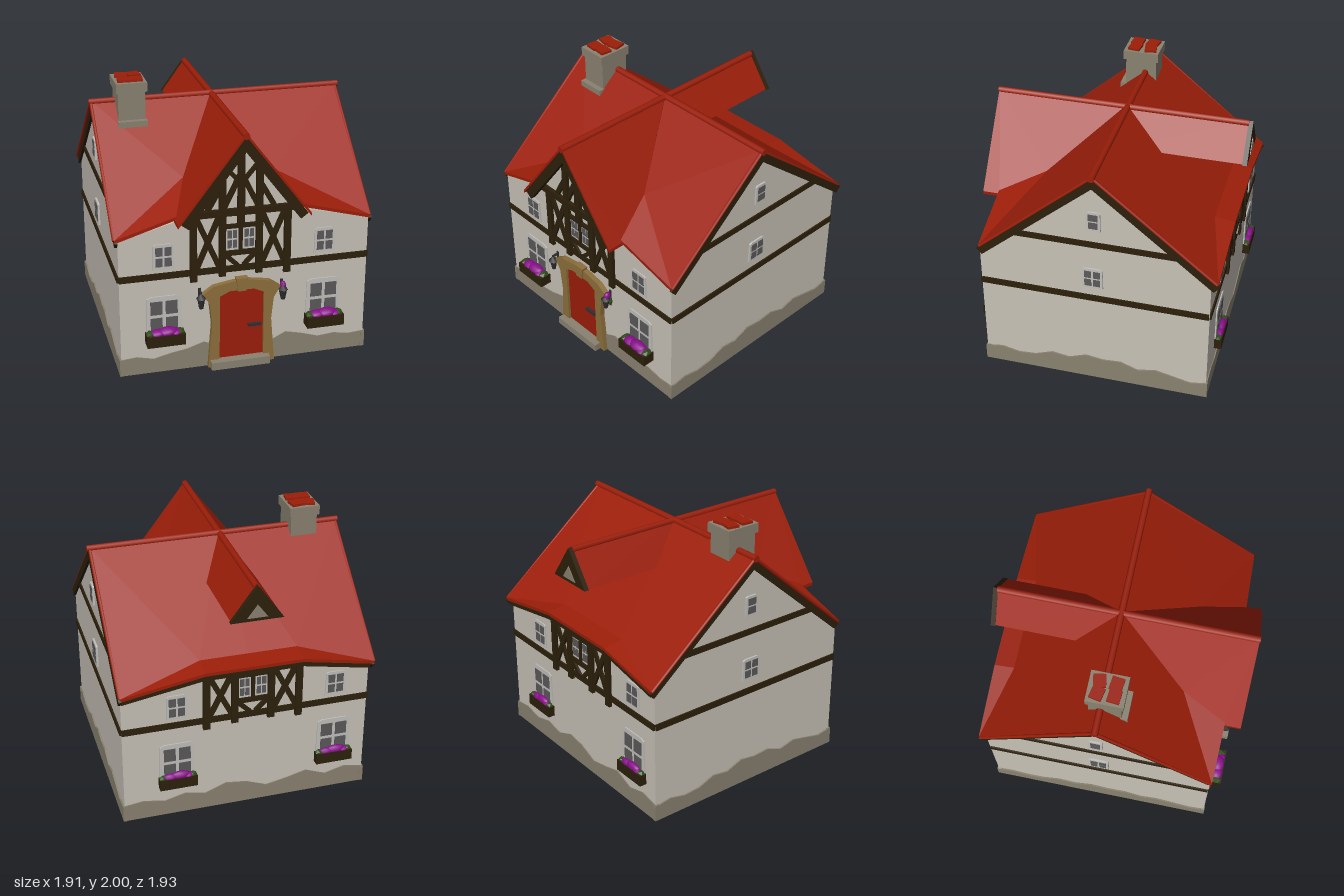
import * as THREE from 'three';

const mat = (name, color) => Object.assign(new THREE.MeshStandardMaterial({ color }), { name });
const M = {
  wall: mat('plaster', 0xc7c2b7), red: mat('redTile', 0x9c1e09), timber: mat('darkTimber', 0x2d200b),
  tan: mat('sandstone', 0x8d6f3c), stone: mat('greyStone', 0x8a8271), purple: mat('purpleBlossom', 0x8a0f8c),
  green: mat('leafGreen', 0x2f4d1c), frame: mat('windowFrame', 0xc2c0bb), glass: mat('greyGlass', 0x5b595a),
  metal: mat('darkMetal', 0x302e30),
};
const CX = -0.04, FRONT = 0.815, BACK = -0.875, SIDE = 0.92, RZ = -0.03;

let seed = 7;
const rnd = () => (seed = (seed * 16807) % 2147483647) / 2147483647;

function add(parent, name, geo, material, x = 0, y = 0, z = 0) {
  const m = new THREE.Mesh(geo, material);
  m.name = name;
  m.position.set(x, y, z);
  parent.add(m);
  return m;
}
const box = (p, name, m, w, h, d, x, y, z) => add(p, name, new THREE.BoxGeometry(w, h, d), m, x, y, z);

// Flat outline pushed forward by depth
function plate(p, name, m, pts, depth, z = 0) {
  const shape = new THREE.Shape(pts.map(([x, y]) => new THREE.Vector2(x, y)));
  return add(p, name, new THREE.ExtrudeGeometry(shape, { depth, bevelEnabled: false }), m, 0, 0, z);
}

// Straight timber between two points on a wall face
function beam(p, x1, y1, x2, y2, w = 0.04, d = 0.025, z = 0) {
  const b = box(p, 'timberBeam', M.timber, Math.hypot(x2 - x1, y2 - y1), w, d, (x1 + x2) / 2, (y1 + y2) / 2, z + d / 2);
  b.rotation.z = Math.atan2(y2 - y1, x2 - x1);
}

// Round tile roll between two points
function roll(p, name, a, b, r) {
  const A = new THREE.Vector3(...a), B = new THREE.Vector3(...b), dir = B.clone().sub(A);
  const m = add(p, name, new THREE.CylinderGeometry(r, r, dir.length(), 8), M.red);
  m.position.copy(A).add(B).multiplyScalar(0.5);
  m.quaternion.setFromUnitVectors(new THREE.Vector3(0, 1, 0), dir.normalize());
}

// Roof panel: a polygon in space thickened downwards
function slab(p, name, pts, t = 0.025) {
  const area = pts.reduce((s, a, i) => {
    const b = pts[(i + 1) % pts.length];
    return s + a[2] * b[0] - a[0] * b[2];
  }, 0);
  if (area < 0) pts = [pts[0], ...pts.slice(1).reverse()];
  const low = pts.map(([x, y, z]) => [x, y - t, z]), v = [];
  for (let i = 1; i < pts.length - 1; i++) {
    v.push(pts[0], pts[i], pts[i + 1], low[0], low[i + 1], low[i]);
  }
  pts.forEach((a, i) => {
    const j = (i + 1) % pts.length;
    v.push(a, low[i], low[j], a, low[j], pts[j]);
  });
  const g = new THREE.BufferGeometry();
  g.setAttribute('position', new THREE.Float32BufferAttribute(v.flat(), 3));
  g.computeVertexNormals();
  add(p, name, g, M.red);
}

// Window with a grid of panes, centred at x, y on a wall face
function windowUnit(p, x, y, w, h, cols = 2, rows = 2) {
  const g = new THREE.Group();
  g.name = 'window';
  g.position.set(x, y, 0);
  p.add(g);
  const a = w / 2, b = h / 2;
  plate(g, 'windowFrame', M.frame, [[-a, -b], [a, -b], [a * 0.95, b * 0.9], [a * 0.7, b], [-a * 0.7, b], [-a * 0.95, b * 0.9]], 0.014);
  const cw = w * 0.84 / cols, ch = h * 0.84 / rows;
  for (let i = 0; i < cols; i++) for (let j = 0; j < rows; j++) {
    box(g, 'windowPane', M.glass, cw * 0.78, ch * 0.8, 0.006, (i - (cols - 1) / 2) * cw, (j - (rows - 1) / 2) * ch, 0.015);
  }
}

// Faceted leaf or blossom clump, stretched to a size
function clump(p, leaf, size, x, y, z) {
  const m = add(p, leaf ? 'leaf' : 'blossom', new THREE.IcosahedronGeometry(1, leaf ? 0 : 1), leaf ? M.green : M.purple, x, y, z);
  m.scale.set(...size);
}

// Planter with a mound of blossoms and leaves at the ends
function flowerBox(p, x, depth) {
  box(p, 'flowerBox', M.timber, 0.28, 0.085, depth, x, 0.293, depth / 2);
  const dz = depth * 0.5;
  clump(p, false, [0.075, 0.034, dz], x + 0.02, 0.345, dz);
  clump(p, false, [0.06, 0.028, dz * 0.95], x - 0.055, 0.34, dz);
  clump(p, false, [0.045, 0.024, dz], x + 0.075, 0.336, dz);
  for (const s of [-1, 1]) clump(p, true, [0.035, 0.026, dz * 0.95], x + s * 0.11, 0.336, dz);
}

// Windows, planters and timber framing shared by front and back; c is the panel centre
function facade(p, c, depth, top) {
  for (const s of [-1, 1]) {
    const x = c + 0.035 + s * 0.597;
    windowUnit(p, x, 0.455, 0.265, 0.31);
    windowUnit(p, c + 0.035 + s * 0.594, 0.917, 0.155, 0.195);
    flowerBox(p, x, depth);
    beam(p, c + s * 0.345, 0.7, c + s * 0.345, top, 0.05, 0.03);
    beam(p, c + s * 0.135, 0.72, c + s * 0.135, top, 0.05, 0.03);
    beam(p, c + s * 0.16, 0.8, c + s * 0.32, top - 0.02, 0.04, 0.022);
    beam(p, c + s * 0.16, top - 0.02, c + s * 0.32, 0.8, 0.04, 0.022);
    beam(p, c + s * 0.02, 0.79, c + s * 0.12, 0.89, 0.032);
    windowUnit(p, c + s * 0.062, 1.0, 0.092, 0.18);
  }
  beam(p, -0.92, 0.768, 0.92, 0.768, 0.048, 0.016);
  beam(p, c - 0.13, 0.895, c + 0.13, 0.895, 0.04);
  beam(p, c - 0.13, 1.1, c + 0.13, 1.1, 0.03);
  beam(p, c, 0.895, c, 1.1, 0.026, 0.022);
}

// Rough stone plinth strip with an uneven top
function plinth(p, w, heights) {
  const n = heights.length - 1;
  plate(p, 'stonePlinth', M.stone, [[-w, 0], [w, 0], ...heights.map((h, i) => [w - 2 * w * i / n, h])], 0.03, -0.018);
}

function roof(p) {
  for (const s of [-1, 1]) {
    const xo = s > 0 ? 0.928 : -0.943, X = d => CX + s * d;
    const A = [xo, 1.82, RZ], B = [CX, 1.82, RZ], C = [xo, 1.08, 0.83], E = [X(0.34), 1.37, 0.5];
    slab(p, 'frontRoof', [A, B, E, C]);
    slab(p, 'frontRoofFlare', [C, E, [X(0.46), 1.22, 0.84]]);
    slab(p, 'gableRoof', [[CX, 1.83, 0.96], [CX, 1.83, RZ], E, [X(0.48), 1.2, 0.83], [X(0.48), 1.2, 0.96]]);
    const Cb = [xo, 1.08, -0.93], F = [X(0.36), 1.205, -0.778], K = [CX, 1.205, -0.778];
    slab(p, 'backRoof', [F, Cb, A, B, K]);
    slab(p, 'backRoofFlare', [Cb, F, [X(0.36), 1.185, -0.93]]);
    slab(p, 'backRoofLift', [F, K, [CX, 1.185, -0.93], [X(0.36), 1.185, -0.93]]);
    for (const z of [0.82, -0.92]) roll(p, 'vergeRoll', [xo, 1.81, RZ], [xo, 1.073, z], 0.013);
  }
  roll(p, 'mainRidge', [-0.96, 1.81, RZ], [0.95, 1.81, RZ], 0.025);
  roll(p, 'crossRidge', [CX, 1.807, -0.93], [CX, 1.807, 0.965], 0.025);
  // Short rear arm of the cross ridge
  const tri = (w, top, bottom) => [[CX - w, bottom], [CX + w, bottom], [CX, top]];
  plate(p, 'rearArm', M.red, tri(0.185, 1.825, 1.57), 0.9, -0.93);
  plate(p, 'rearArmBoard', M.timber, tri(0.192, 1.828, 1.565), 0.035, -0.96);
  plate(p, 'rearArmInfill', M.stone, tri(0.075, 1.69, 1.59), 0.006, -0.965);
}

function door(p) {
  const half = [[0.25, 0], [0.222, 0.35], [0.24, 0.52], [0.29, 0.6], [0.21, 0.655], [0.06, 0.68]];
  const hole = [[0.165, 0], [0.165, 0.57], [0.09, 0.605]];
  const flip = a => a.map(([x, y]) => [-x, y]);
  const g = new THREE.Group();
  g.name = 'doorway';
  g.position.x = -0.035;
  p.add(g);
  plate(g, 'doorSurround', M.tan, [...half, ...flip(half).reverse(), ...flip(hole), ...hole.slice().reverse()], 0.045);
  plate(g, 'keystone', M.tan, [[-0.03, 0.6], [0.03, 0.6], [0.045, 0.7], [-0.045, 0.7]], 0.055);
  plate(g, 'door', M.red, [[-0.166, 0.04], [0.166, 0.04], [0.166, 0.572], [0.09, 0.607], [-0.09, 0.607], [-0.166, 0.572]], 0.025);
  box(g, 'doorHandle', M.metal, 0.1, 0.02, 0.025, 0.1, 0.31, 0.035);
  box(g, 'doorStep', M.stone, 0.44, 0.06, 0.1, -0.015, 0.03, 0.045);
  // Lanterns on brackets either side
  for (const s of [-1, 1]) {
    const x = s * 0.305;
    add(g, 'lanternBody', new THREE.CylinderGeometry(0.03, 0.016, 0.08, 6), M.metal, x, 0.54, 0.055);
    add(g, 'lanternCap', new THREE.ConeGeometry(0.038, 0.045, 6), M.metal, x, 0.6, 0.055);
    box(g, 'lanternBracket', M.metal, 0.014, 0.014, 0.06, x, 0.62, 0.03);
    box(g, 'lanternPlate', M.metal, 0.02, 0.1, 0.012, x, 0.59, 0.006);
  }
  // Small trailing plant behind one lantern
  clump(g, false, [0.022, 0.032, 0.03], 0.308, 0.605, 0.04);
  clump(g, true, [0.02, 0.05, 0.018], 0.308, 0.54, 0.014);
}

export function createModel() {
  const house = new THREE.Group();
  house.name = 'cottage';
  const face = (name, x, z, ry) => {
    const g = new THREE.Group();
    g.name = name;
    g.position.set(x, 0, z);
    g.rotation.y = ry;
    house.add(g);
    return g;
  };

  // Main body with side gables
  const body = plate(house, 'walls', M.wall, [[-FRONT, 0], [-BACK, 0], [-BACK, 1.07], [0.03, 1.79], [-FRONT, 1.07]], SIDE * 2);
  body.geometry.rotateY(Math.PI / 2);
  body.position.x = -SIDE;

  // Front with timbered gable
  const front = face('front', 0, FRONT, 0);
  plate(front, 'frontWall', M.wall, [[-SIDE, 0], [SIDE, 0], [SIDE, 1.06], [0.4, 1.18], [CX, 1.74], [-0.48, 1.18], [-SIDE, 1.06]], 0.055, -0.05);
  facade(front, CX, 0.1, 1.2);
  beam(front, CX - 0.42, 1.21, CX + 0.42, 1.21, 0.05, 0.035);
  beam(front, CX, 1.1, CX, 1.74, 0.05, 0.035);
  for (const s of [-1, 1]) {
    beam(front, CX + s * 0.135, 1.2, CX + s * 0.135, 1.56, 0.05, 0.03);
    beam(front, CX + s * 0.13, 1.23, CX + s * 0.01, 1.48, 0.038);
    beam(front, CX + s * 0.15, 1.4, CX + s * 0.25, 1.22, 0.038);
    beam(front, CX + s * 0.02, 1.44, CX + s * 0.13, 1.57, 0.03);
    beam(front, CX - s * 0.02, 1.774, CX + s * 0.43, 1.18, 0.068, 0.04, 0.1);
  }
  plinth(front, 0.932, [0.13, 0.12, 0.14, 0.13, 0.17, 0.2, 0.14, 0.1, 0.1, 0.15, 0.2, 0.16, 0.14, 0.11, 0.14, 0.13]);
  door(front);

  // Back, with a timber under the eave
  const back = face('back', 0, BACK, Math.PI);
  plate(back, 'backWall', M.wall, [[-SIDE, 0], [SIDE, 0], [SIDE, 1.06], [0.4, 1.16], [-0.32, 1.16], [-SIDE, 1.06]], 0.055, -0.05);
  facade(back, -CX, 0.06, 1.14);
  beam(back, -CX - 0.37, 1.137, -CX + 0.37, 1.137, 0.045, 0.04);
  beam(back, -0.92, 1.035, -CX - 0.36, 1.135, 0.035, 0.04);
  beam(back, 0.92, 1.035, -CX + 0.36, 1.135, 0.035, 0.04);
  plinth(back, 0.932, [0.13, 0.16, 0.12, 0.18, 0.14, 0.11, 0.17, 0.19, 0.13, 0.16, 0.12, 0.15, 0.13]);

  // Side gables
  for (const s of [-1, 1]) {
    const g = face(s > 0 ? 'leftSide' : 'rightSide', s * SIDE, 0, s * Math.PI / 2);
    const L = z => -s * z;
    beam(g, L(FRONT), 0.768, L(BACK), 0.768, 0.048, 0.012);
    beam(g, L(0.6), 1.248, L(-0.65), 1.248, 0.045, 0.012);
    beam(g, L(RZ - 0.02), 1.782, L(0.82), 1.035, 0.06, 0.02);
    beam(g, L(RZ + 0.02), 1.782, L(-0.92), 1.035, 0.06, 0.02);
    windowUnit(g, L(-0.025), 0.95, 0.155, 0.17);
    windowUnit(g, L(-0.037), 1.452, 0.105, 0.155, 1, 2);
    const strip = face('sidePlinth', s * SIDE, (FRONT + BACK) / 2, s * Math.PI / 2);
    plinth(strip, 0.86, [0.13, 0.11, 0.14, 0.17, 0.14, 0.19, 0.18, 0.2, 0.15, 0.17, 0.12, 0.11, 0.14, 0.12]);
  }

  roof(house);

  // Chimney
  const stack = face('chimney', -0.667, 0.003, 0);
  box(stack, 'chimneyFlashing', M.stone, 0.215, 0.05, 0.3, 0, 1.675, 0.01);
  box(stack, 'chimneyStack', M.stone, 0.2, 0.36, 0.235, 0, 1.76, 0);
  box(stack, 'chimneyCap', M.stone, 0.228, 0.07, 0.27, 0, 1.945, 0);
  for (const z of [-0.062, 0.058]) for (const x of [-0.045, 0.045]) {
    const pot = box(stack, 'chimneyPot', M.red, 0.095, 0.03, 0.09, x, 1.983, z);
    pot.rotation.y = (rnd() - 0.5) * 0.4;
  }
  return house;
}
